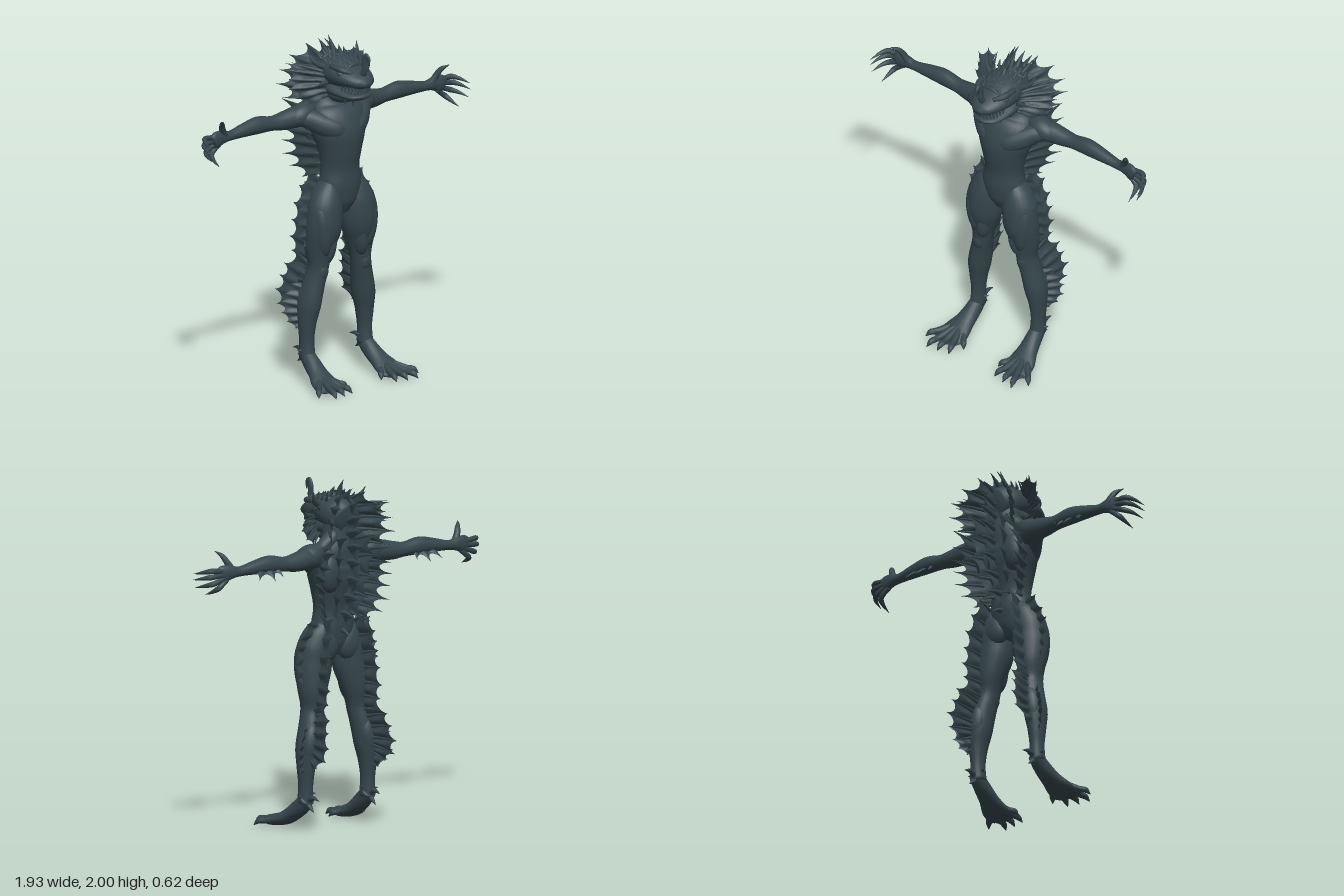
import * as THREE from 'three';

const V = (p) => new THREE.Vector3(p[0], p[1], p[2]);
const skin = new THREE.MeshStandardMaterial({ color: 0x35464c, side: THREE.DoubleSide });
skin.name = 'dark slate skin';

function build(pos, idx) {
  const g = new THREE.BufferGeometry();
  g.setAttribute('position', new THREE.Float32BufferAttribute(pos, 3));
  g.setIndex(idx);
  g.computeVertexNormals();
  return g;
}

// Smooth limb through stations [x, y, z, radiusA, radiusB], closed at both ends
function loft(st, sides = 20, steps = 5) {
  const path = new THREE.CatmullRomCurve3(st.map(V));
  const radii = new THREE.CatmullRomCurve3(st.map((p) => new THREE.Vector3(p[3], p[4] ?? p[3], 0)));
  const span = V(st[st.length - 1]).sub(V(st[0]));
  const alongX = Math.abs(span.x) > Math.max(Math.abs(span.y), Math.abs(span.z));
  const ref = alongX ? V([0, 1, 0]) : V([1, 0, 0]);
  const n = (st.length - 1) * steps, pos = [], idx = [];
  for (let k = -1; k <= n + 1; k++) {
    const t = Math.min(Math.max(k / n, 0), 1), cap = k < 0 || k > n ? 0.02 : 1;
    const c = path.getPoint(t), r = radii.getPoint(t), T = path.getTangent(t);
    const U = ref.clone().addScaledVector(T, -ref.dot(T)).normalize();
    const W = T.clone().cross(U);
    for (let j = 0; j < sides; j++) {
      const a = (j / sides) * Math.PI * 2;
      const p = c.clone().addScaledVector(U, Math.max(r.x, 0.0005) * cap * Math.cos(a))
        .addScaledVector(W, Math.max(r.y, 0.0005) * cap * Math.sin(a));
      pos.push(p.x, p.y, p.z);
    }
  }
  for (let i = 0; i < n + 2; i++) for (let j = 0; j < sides; j++) {
    const a = i * sides + j, b = i * sides + ((j + 1) % sides);
    idx.push(a, b, a + sides, b, b + sides, a + sides);
  }
  return build(pos, idx);
}

// Curved, pointed spine
function spike(a, b, r, bend = [0, 0, 0]) {
  const m = a.map((v, i) => (v + b[i]) / 2 + bend[i]);
  return loft([[...a, r], [...m, r * 0.6], [...b, 0.001]], 7, 4);
}

// Webbed fin: rays of [base, tip], scalloped and rippled between the tips
function fin(rays, depth = 0.35, ripple = 0.007) {
  const base = new THREE.CatmullRomCurve3(rays.map((r) => V(r[0])));
  const tips = new THREE.CatmullRomCurve3(rays.map((r) => V(r[1])));
  const per = 10, rows = 5, n = (rays.length - 1) * per, pos = [], idx = [];
  for (let i = 0; i <= n; i++) {
    const u = i / per, b = base.getPoint(i / n), d = tips.getPoint(i / n).sub(b);
    const N = base.getTangent(i / n).cross(d).normalize();
    const len = 1 - depth * Math.sqrt(Math.abs(Math.sin(Math.PI * u)));
    for (let j = 0; j <= rows; j++) {
      const v = j / rows;
      const p = b.clone().addScaledVector(d, v * len)
        .addScaledVector(N, ripple * Math.cos(2 * Math.PI * u) * Math.sin(Math.PI * v));
      pos.push(p.x, p.y, p.z);
    }
  }
  for (let i = 0; i < n; i++) for (let j = 0; j < rows; j++) {
    const a = i * (rows + 1) + j, b = a + rows + 1;
    idx.push(a, b, a + 1, b, b + 1, a + 1);
  }
  return build(pos, idx);
}

function ball(c, s, rz = 0) {
  return new THREE.SphereGeometry(1, 24, 16).scale(...s).rotateZ(rz).translate(...c);
}

export function createModel() {
  const model = new THREE.Group();
  model.name = 'finnedCreature';
  const add = (name, g) => {
    const m = new THREE.Mesh(g, skin);
    m.name = name;
    model.add(m);
  };
  // Adds a part on the left and its mirror image on the right
  const pair = (name, g) => {
    add(name + 'Left', g);
    const h = g.clone().applyMatrix4(new THREE.Matrix4().makeScale(-1, 1, 1));
    h.setIndex(Array.from(g.index.array).reverse());
    add(name + 'Right', h);
  };
  // Fin pair stiffened by a bony spine along every ray
  const finPair = (name, rays, depth, ripple) => {
    pair(name, fin(rays, depth, ripple));
    for (const [a, b] of rays) pair(name + 'Spine', spike(a, b, 0.011, [0, 0.004, 0]));
  };

  // Torso and neck
  add('torso', loft([
    [0, 0.99, -0.01, 0.04, 0.05], [0, 1.06, -0.01, 0.12, 0.085], [0, 1.15, -0.012, 0.135, 0.1],
    [0, 1.25, -0.015, 0.118, 0.1], [0, 1.36, -0.02, 0.135, 0.125], [0, 1.46, -0.03, 0.168, 0.142],
    [0, 1.54, -0.05, 0.185, 0.132], [0, 1.61, -0.075, 0.155, 0.1], [0, 1.68, -0.075, 0.105, 0.088],
    [0, 1.77, -0.07, 0.1, 0.09]], 32));
  pair('chestMuscle', loft([
    [0.01, 1.49, 0.062, 0.03, 0.03], [0.07, 1.495, 0.05, 0.058, 0.05], [0.13, 1.52, 0.005, 0.064, 0.056],
    [0.19, 1.555, -0.05, 0.058, 0.055], [0.26, 1.57, -0.095, 0.045, 0.045]], 20));
  pair('trapezius', loft([[0.05, 1.69, -0.1, 0.05], [0.12, 1.635, -0.1, 0.045], [0.21, 1.6, -0.1, 0.045]], 14));
  pair('shoulderMuscle', ball([0.215, 1.58, -0.09], [0.1, 0.066, 0.068], -0.25));
  pair('backMuscle', ball([0.09, 1.48, -0.11], [0.08, 0.12, 0.06]));
  pair('buttock', ball([0.08, 1.05, -0.055], [0.08, 0.1, 0.055]));

  // Arms
  pair('arm', loft([
    [0.14, 1.565, -0.08, 0.06, 0.06], [0.24, 1.57, -0.1, 0.062, 0.06], [0.34, 1.56, -0.115, 0.053, 0.05],
    [0.42, 1.56, -0.12, 0.042, 0.042], [0.52, 1.57, -0.12, 0.05, 0.044], [0.62, 1.562, -0.12, 0.04, 0.038],
    [0.73, 1.55, -0.12, 0.028, 0.028], [0.79, 1.552, -0.12, 0.042, 0.026], [0.835, 1.545, -0.115, 0.05, 0.024],
    [0.86, 1.535, -0.112, 0.038, 0.018]]));
  pair('forearmFin', fin([
    [[0.44, 1.55, -0.14], [0.43, 1.535, -0.16]], [[0.48, 1.55, -0.14], [0.465, 1.5, -0.185]],
    [[0.53, 1.55, -0.14], [0.54, 1.485, -0.215]], [[0.59, 1.55, -0.14], [0.635, 1.495, -0.19]],
    [[0.65, 1.55, -0.13], [0.66, 1.53, -0.15]]], 0.6));

  // Hands with curled, clawed fingers: [root y, knuckle x, knuckle y, tip x, tip y, tip z]
  for (const [ry, kx, ky, tx, ty, tz] of [
    [1.56, 0.915, 1.57, 0.965, 1.545, -0.01], [1.545, 0.92, 1.535, 0.965, 1.51, -0.005],
    [1.53, 0.905, 1.495, 0.955, 1.465, -0.01], [1.515, 0.87, 1.465, 0.89, 1.42, -0.02]]) {
    pair('finger', loft([
      [0.81, ry, -0.118, 0.016], [(0.81 + kx) / 2, (ry + ky) / 2, -0.122, 0.015], [kx, ky, -0.115, 0.016],
      [kx * 0.4 + tx * 0.6, ky * 0.4 + ty * 0.6 + 0.006, -0.08, 0.011], [tx, ty, tz, 0.001]], 9));
  }
  pair('thumb', loft([
    [0.765, 1.555, -0.115, 0.02], [0.795, 1.6, -0.105, 0.019], [0.815, 1.64, -0.085, 0.015],
    [0.845, 1.67, -0.045, 0.001]], 9));

  // Legs
  pair('leg', loft([
    [0.085, 1.18, -0.02, 0.04, 0.06], [0.1, 1.12, -0.015, 0.08, 0.085], [0.12, 1.03, -0.005, 0.106, 0.1],
    [0.13, 0.93, -0.003, 0.108, 0.102], [0.148, 0.8, -0.02, 0.085, 0.085], [0.158, 0.68, -0.02, 0.056, 0.066],
    [0.175, 0.6, -0.032, 0.058, 0.07], [0.2, 0.48, -0.045, 0.064, 0.075], [0.213, 0.36, -0.05, 0.05, 0.058],
    [0.215, 0.25, -0.05, 0.04, 0.046], [0.215, 0.16, -0.045, 0.044, 0.05]], 24));
  pair('outerThighMuscle', ball([0.17, 0.91, 0.02], [0.055, 0.17, 0.072], -0.1));
  pair('innerThighMuscle', ball([0.115, 0.83, 0.012], [0.045, 0.13, 0.066], 0.12));
  pair('kneecap', ball([0.158, 0.67, 0.015], [0.038, 0.06, 0.036]));
  pair('calfMuscle', ball([0.2, 0.5, -0.075], [0.055, 0.12, 0.05], 0.15));

  // Feet, raised at the heel, with webbed toes
  pair('foot', loft([
    [0.215, 0.19, -0.07, 0.04, 0.04], [0.217, 0.14, -0.015, 0.046, 0.05], [0.225, 0.085, 0.06, 0.06, 0.043],
    [0.235, 0.045, 0.13, 0.085, 0.034], [0.24, 0.026, 0.18, 0.085, 0.022], [0.24, 0.02, 0.2, 0.07, 0.014]], 20));
  const toeTips = [[0.125, 0.2], [0.165, 0.285], [0.235, 0.3], [0.305, 0.31], [0.37, 0.235]];
  for (const [x, z] of toeTips) {
    const toe = [[0.05, 0.08, 0.018], [0.4, 0.055, 0.021], [0.7, 0.038, 0.018], [0.87, 0.034, 0.017], [1, 0.01, 0.002]]
      .map(([t, y, r]) => [0.23 + (x - 0.23) * t, y, 0.07 + (z - 0.07) * t, r]);
    pair('toe', loft(toe, 9));
  }
  pair('toeWeb', fin(toeTips.map(([x, z]) => [[0.23 + (x - 0.23) * 0.3, 0.04, 0.12],
    [0.23 + (x - 0.23) * 0.93, 0.02, z - 0.015]]), 0.3, 0.003));
  pair('heelSpur', spike([0.215, 0.18, -0.07], [0.21, 0.185, -0.175], 0.022, [0, 0.015, 0]));
  pair('heelSpur', spike([0.215, 0.16, -0.07], [0.215, 0.115, -0.13], 0.02));
  pair('ankleSpur', spike([0.19, 0.21, -0.05], [0.16, 0.215, -0.07], 0.015));
  pair('ankleSpur', spike([0.24, 0.2, -0.05], [0.272, 0.2, -0.07], 0.015));

  // Leg fins: outer and rear rows on thigh and calf
  pair('hipFin', fin([
    [[0.11, 1.17, -0.05], [0.165, 1.225, -0.06]], [[0.13, 1.13, -0.05], [0.22, 1.19, -0.07]],
    [[0.16, 1.07, -0.04], [0.265, 1.1, -0.06]], [[0.18, 1.0, -0.03], [0.285, 1.04, -0.05]],
    [[0.19, 0.94, -0.03], [0.29, 0.95, -0.05]], [[0.19, 0.88, -0.03], [0.275, 0.87, -0.05]],
    [[0.19, 0.83, -0.03], [0.245, 0.81, -0.05]]], 0.25));
  finPair('rearThighFin', [
    [[0.1, 1.17, -0.06], [0.11, 1.22, -0.17]], [[0.12, 1.08, -0.06], [0.14, 1.12, -0.205]],
    [[0.14, 0.98, -0.06], [0.165, 1.02, -0.225]], [[0.15, 0.9, -0.06], [0.175, 0.92, -0.23]],
    [[0.155, 0.82, -0.06], [0.18, 0.82, -0.24]], [[0.16, 0.74, -0.06], [0.18, 0.74, -0.225]],
    [[0.165, 0.66, -0.06], [0.185, 0.67, -0.19]]], 0.24);
  pair('outerCalfFin', fin([
    [[0.21, 0.6, -0.06], [0.25, 0.615, -0.09]], [[0.22, 0.56, -0.06], [0.275, 0.585, -0.12]],
    [[0.23, 0.51, -0.06], [0.31, 0.53, -0.14]], [[0.23, 0.46, -0.06], [0.33, 0.485, -0.15]],
    [[0.23, 0.42, -0.06], [0.33, 0.42, -0.14]], [[0.23, 0.38, -0.06], [0.305, 0.365, -0.12]],
    [[0.225, 0.34, -0.06], [0.265, 0.325, -0.09]]], 0.23));
  finPair('rearCalfFin', [
    [[0.17, 0.68, -0.06], [0.18, 0.74, -0.19]], [[0.18, 0.62, -0.08], [0.2, 0.66, -0.265]],
    [[0.195, 0.56, -0.09], [0.22, 0.59, -0.28]], [[0.2, 0.5, -0.09], [0.235, 0.505, -0.305]],
    [[0.205, 0.46, -0.09], [0.24, 0.425, -0.28]], [[0.21, 0.42, -0.08], [0.24, 0.375, -0.19]],
    [[0.213, 0.36, -0.07], [0.235, 0.33, -0.12]]], 0.23);

  // Back fins: side rows and central crest
  finPair('sideBackFin', [
    [[0.14, 1.58, -0.1], [0.19, 1.62, -0.3]], [[0.15, 1.52, -0.07], [0.205, 1.53, -0.29]],
    [[0.15, 1.46, -0.06], [0.225, 1.46, -0.27]], [[0.135, 1.4, -0.05], [0.22, 1.39, -0.26]],
    [[0.12, 1.34, -0.05], [0.215, 1.31, -0.26]], [[0.11, 1.28, -0.05], [0.19, 1.24, -0.23]],
    [[0.11, 1.22, -0.06], [0.15, 1.18, -0.17]]], 0.38);
  finPair('innerBackFin', [
    [[0.06, 1.66, -0.14], [0.1, 1.7, -0.3]], [[0.07, 1.56, -0.14], [0.12, 1.58, -0.28]],
    [[0.07, 1.46, -0.14], [0.11, 1.45, -0.26]], [[0.06, 1.35, -0.11], [0.1, 1.33, -0.23]],
    [[0.05, 1.24, -0.09], [0.08, 1.2, -0.19]]], 0.45);
  const crest = [[1.88, 0.01, 1.95, -0.03], [1.88, -0.05, 2, -0.115], [1.87, -0.1, 1.96, -0.2],
    [1.83, -0.14, 1.89, -0.265], [1.77, -0.15, 1.81, -0.305], [1.7, -0.15, 1.73, -0.31],
    [1.62, -0.15, 1.64, -0.31], [1.54, -0.15, 1.54, -0.3], [1.44, -0.14, 1.44, -0.28],
    [1.34, -0.12, 1.33, -0.275], [1.24, -0.1, 1.22, -0.22], [1.14, -0.09, 1.11, -0.18]]
    .map(([y, z, ty, tz]) => [[0, y, z], [0, ty, tz]]);
  add('dorsalFin', fin(crest, 0.5));
  for (const [a, b] of crest) add('dorsalSpine', spike(a, b, 0.02, [0, 0.008, 0]));

  // Head: skull, jaw, mouth
  add('skull', loft([
    [0, 1.78, -0.17, 0.07, 0.08], [0, 1.8, -0.09, 0.115, 0.105], [0, 1.82, 0, 0.126, 0.095],
    [0, 1.81, 0.09, 0.12, 0.073], [0, 1.798, 0.16, 0.096, 0.05], [0, 1.788, 0.205, 0.066, 0.036],
    [0, 1.78, 0.232, 0.026, 0.016]], 28));
  add('lowerJaw', loft([
    [0, 1.735, -0.06, 0.1, 0.065], [0, 1.725, 0.02, 0.117, 0.05], [0, 1.712, 0.1, 0.104, 0.034],
    [0, 1.705, 0.17, 0.078, 0.024], [0, 1.713, 0.215, 0.032, 0.013]], 28));
  add('throat', ball([0, 1.69, 0.01], [0.09, 0.055, 0.09]));
  for (let i = 0; i < 8; i++) {
    const a = 0.12 + i * 0.17, x = 0.09 * Math.sin(a), z = 0.07 + 0.14 * Math.cos(a);
    pair('upperTooth', spike([x, 1.768, z], [x, 1.738, z + 0.004], 0.007));
    pair('lowerTooth', spike([x * 0.95, 1.715, z - 0.012], [x * 0.95, 1.744, z - 0.008], 0.006));
  }
  pair('eye', ball([0.09, 1.835, 0.095], [0.024, 0.022, 0.026]));
  pair('brow', loft([[0.05, 1.845, 0.155, 0.012], [0.092, 1.862, 0.11, 0.018], [0.108, 1.872, 0.03, 0.014]], 10));
  pair('browHorn', spike([0.1, 1.85, -0.02], [0.18, 1.94, -0.08], 0.022, [0.018, -0.008, 0]));
  pair('cheekSpine', spike([0.12, 1.78, 0.02], [0.17, 1.75, -0.02], 0.018));
  add('chinBarbel', spike([0, 1.69, 0.12], [0, 1.625, 0.105], 0.014, [0, 0, -0.012]));
  pair('chinBarbel', spike([0.05, 1.69, 0.1], [0.055, 1.645, 0.09], 0.01));
  // Curled lure above the snout
  add('lure', loft([[0, 1.815, 0.165, 0.024, 0.022], [0, 1.86, 0.2, 0.016, 0.018], [0, 1.915, 0.2, 0.013, 0.02],
    [0, 1.95, 0.212, 0.01, 0.018], [0, 1.94, 0.235, 0.008, 0.013], [0, 1.9, 0.238, 0.004]], 10));
  // Transverse scalp ridges edged with small spines
  for (let r = 0; r < 5; r++) {
    const z = 0.11 - r * 0.045, y = 1.873 + r * 0.009;
    add('scalpRidge', loft([[-0.085, y - 0.024, z, 0.009], [0, y + 0.006, z, 0.013], [0.085, y - 0.024, z, 0.009]], 8));
    for (let k = 0; k < 3; k++) {
      const x = 0.022 + k * 0.033, ys = y - k * k * 0.006;
      pair('scalpSpine', spike([x, ys, z], [x * 1.08, ys + 0.033, z - 0.025], 0.01));
    }
  }

  // Head frill
  finPair('headFrill', [
    [[0.11, 1.84, -0.03], [0.2, 1.855, -0.2]], [[0.115, 1.83, -0.02], [0.255, 1.865, -0.19]],
    [[0.12, 1.81, -0.01], [0.295, 1.845, -0.15]], [[0.12, 1.78, 0], [0.285, 1.79, -0.13]],
    [[0.115, 1.755, 0], [0.295, 1.735, -0.12]], [[0.105, 1.72, 0], [0.245, 1.675, -0.1]],
    [[0.095, 1.69, -0.01], [0.18, 1.63, -0.08]]], 0.18, 0.012);
  finPair('rearFrill', [
    [[0.05, 1.88, -0.1], [0.07, 1.94, -0.23]], [[0.08, 1.84, -0.11], [0.14, 1.87, -0.29]],
    [[0.09, 1.78, -0.11], [0.2, 1.79, -0.31]], [[0.09, 1.71, -0.11], [0.22, 1.71, -0.31]],
    [[0.1, 1.64, -0.11], [0.2, 1.63, -0.28]]], 0.36, 0.012);
  return model;
}
